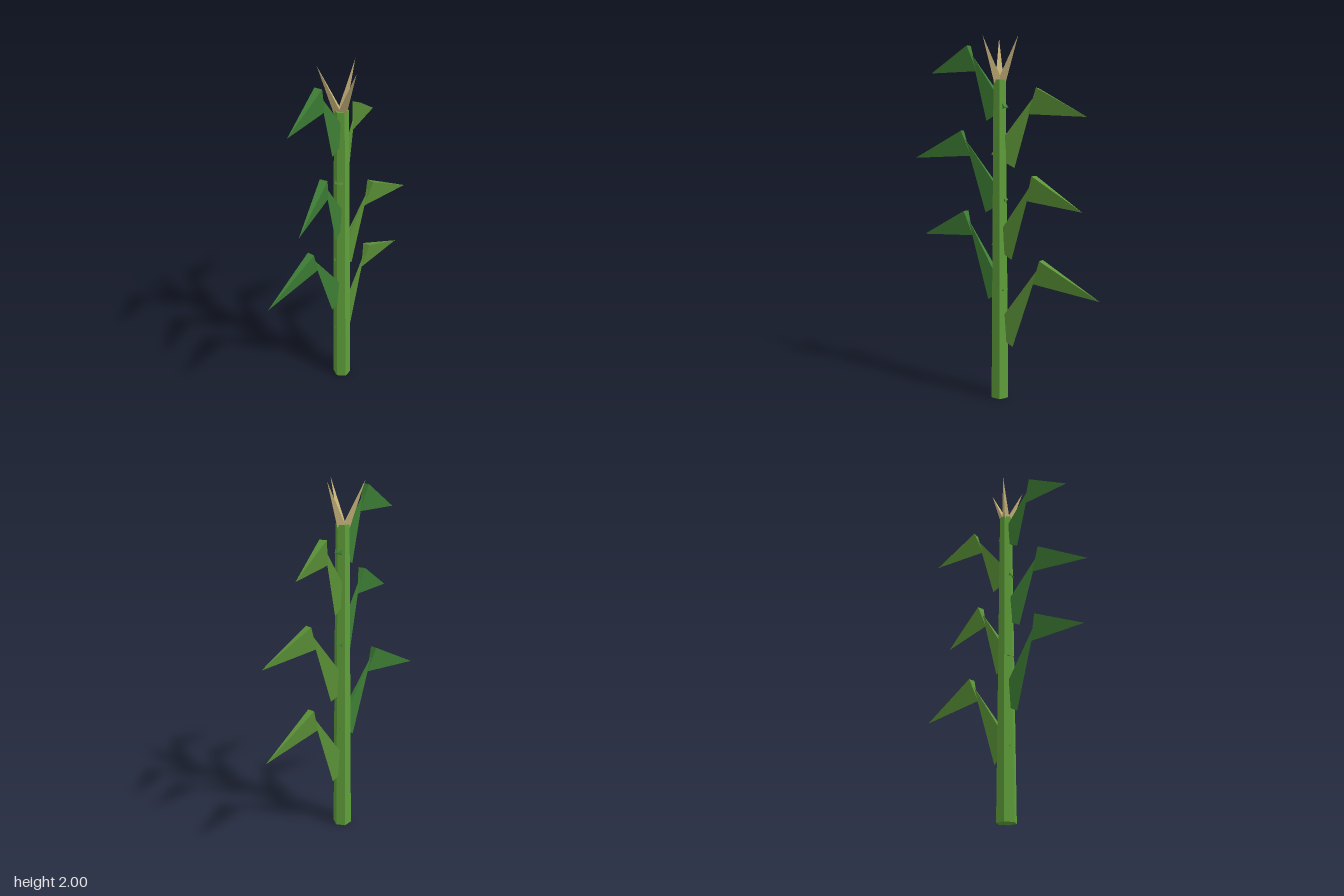
import * as THREE from 'three';

const flat = (name, color) => new THREE.MeshStandardMaterial({ name, color, flatShading: true });
const deg = THREE.MathUtils.degToRad;

// Three-sided cone standing on its base, one corner towards +x
function blade(name, radius, length, thinness, material) {
  const geometry = new THREE.ConeGeometry(radius, length, 3);
  geometry.rotateY(Math.PI / 2).translate(0, length / 2, 0).scale(1, 1, thinness);
  const mesh = new THREE.Mesh(geometry, material);
  mesh.name = name;
  return mesh;
}

export function createModel() {
  const stalkGreen = flat('stalk green', 0x5f9f3a);
  const lightLeaf = flat('light leaf green', 0x5b9237);
  const darkLeaf = flat('dark leaf green', 0x3f8036);
  const straw = flat('straw', 0xc8b47a);

  const model = new THREE.Group();
  model.name = 'cropPlant';
  const plant = new THREE.Group();
  plant.name = 'plant';
  plant.position.set(-0.022, 0, 0.003);
  model.add(plant);

  // Tapered six-sided stalk
  const stalkHeight = 1.775;
  const stalk = new THREE.Mesh(
    new THREE.CylinderGeometry(0.037, 0.053, stalkHeight, 6).rotateY(Math.PI / 6), stalkGreen);
  stalk.name = 'stalk';
  stalk.position.y = stalkHeight / 2;
  plant.add(stalk);

  // Leaves alternate sides up the stalk and get shorter; each has a rising and a drooping blade
  const yaws = [1.4, 174.7, -7, 192.2, 13.9, 182.8];
  yaws.forEach((yaw, i) => {
    const length = 0.485 - 0.026 * i;
    const material = i % 2 ? darkLeaf : lightLeaf;
    const leaf = new THREE.Group();
    leaf.name = `leaf${i + 1}`;
    leaf.position.y = 0.355 + 0.25 * i;
    leaf.rotation.y = deg(yaw);

    const rising = blade('leafBase', 0.097, length, 0.25, material);
    rising.rotation.z = deg(-30);
    const drooping = blade('leafTip', 0.097, length * 0.8, 0.25, material);
    drooping.position.set(length * Math.sin(deg(30)), length * Math.cos(deg(30)), 0);
    drooping.rotation.z = deg(-110);
    leaf.add(rising, drooping);
    plant.add(leaf);
  });

  // Tassel of three splayed spikes
  [0, -107, 125].forEach((yaw, i) => {
    const spray = new THREE.Group();
    spray.name = `tassel${i + 1}`;
    spray.position.y = 1.768;
    spray.rotation.y = deg(yaw);
    const spike = blade('tasselSpike', 0.025, 0.252, 1, straw);
    spike.position.x = 0.015;
    spike.rotation.z = deg(-23.5);
    spray.add(spike);
    plant.add(spray);
  });

  return model;
}
